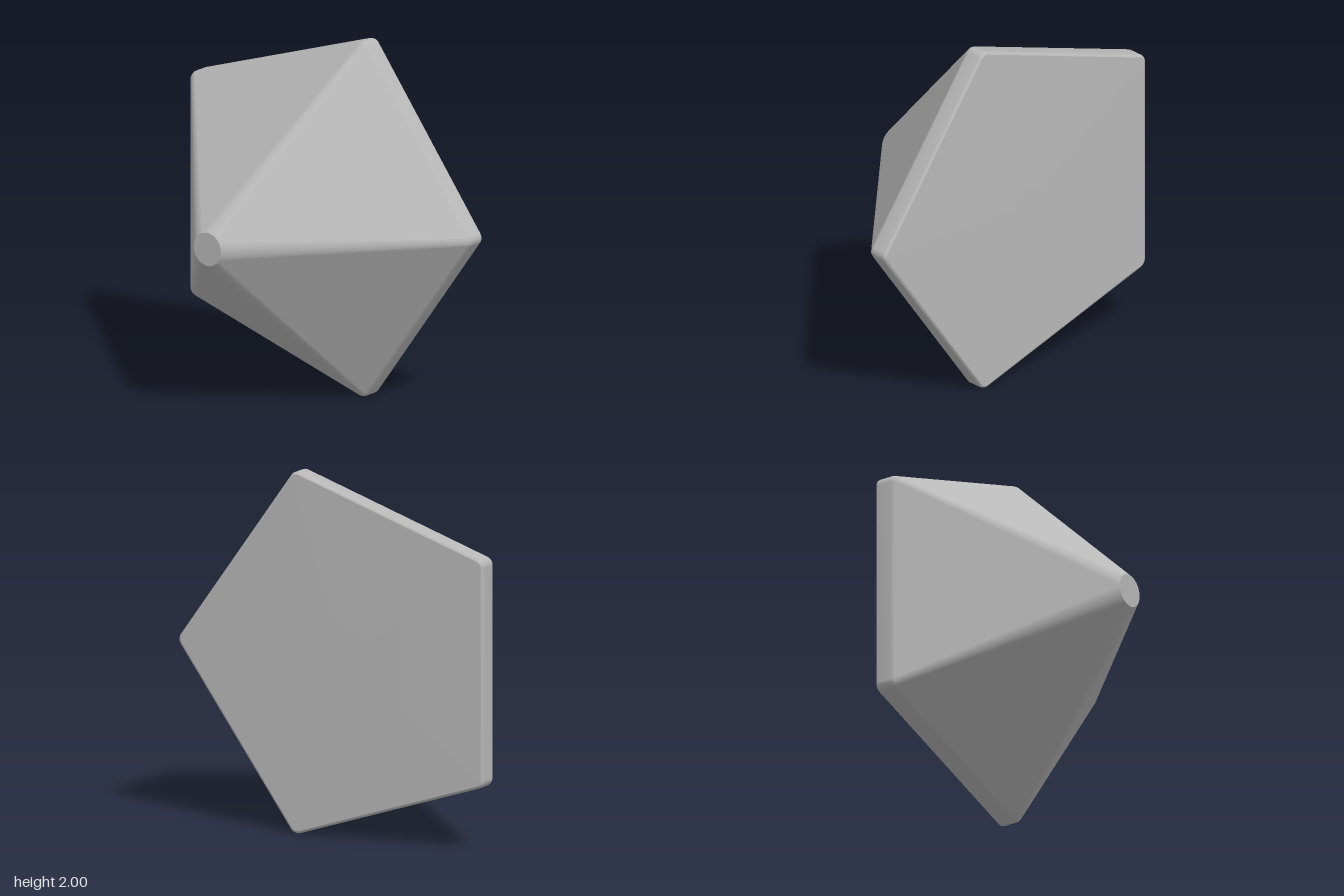
import * as THREE from 'three';
import { mergeVertices } from 'three/addons/utils/BufferGeometryUtils.js';

const SIDES = 5, ARC = 8;

// Rounded pentagon ring: corner circles of radius r at distance d from the axis
function ring(z, d, r) {
  const points = [];
  for (let k = 0; k < SIDES; k++) {
    const corner = (k * 2 * Math.PI) / SIDES;
    for (let i = 0; i <= ARC; i++) {
      const a = corner + (i / ARC - 0.5) * (2 * Math.PI / SIDES);
      points.push([
        d * Math.cos(corner) + r * Math.cos(a),
        d * Math.sin(corner) + r * Math.sin(a),
        z,
      ]);
    }
  }
  return points;
}

// Smooth skin over a list of rings, ordered front to back
function loft(rings) {
  const n = rings[0].length, index = [];
  for (let i = 0; i < rings.length - 1; i++) {
    for (let j = 0; j < n; j++) {
      const a = i * n + j, b = i * n + (j + 1) % n;
      index.push(a, a + n, b, b, a + n, b + n);
    }
  }
  return finish(rings.flat(), index);
}

// Fan closing a ring towards a centre point
function cap(points, centreZ, facesFront) {
  const n = points.length, index = [];
  for (let j = 0; j < n; j++) {
    const k = (j + 1) % n;
    index.push(n, ...(facesFront ? [j, k] : [k, j]));
  }
  return finish([...points, [0, 0, centreZ]], index);
}

function finish(points, index) {
  const geometry = new THREE.BufferGeometry();
  geometry.setAttribute('position', new THREE.Float32BufferAttribute(points.flat(), 3));
  geometry.setIndex(index);
  const merged = mergeVertices(geometry, 1e-5);
  merged.computeVertexNormals();
  return merged;
}

export function createModel() {
  const group = new THREE.Group();
  group.name = 'pentagonalStud';
  const grey = new THREE.MeshStandardMaterial({ color: 0xb8b8b8 });
  grey.name = 'grey';

  const tip = ring(0.545, 0, 0.093);
  const backEdge = ring(-0.536, 0.999, 0.036);
  const add = (name, geometry) => {
    const mesh = new THREE.Mesh(geometry, grey);
    mesh.name = name;
    group.add(mesh);
  };

  // Sloping faces, soft shoulder, rim wall and back bevel
  add('body', loft([
    tip,
    ring(-0.415, 0.999, 0.041),
    ring(-0.434, 0.999, 0.05),
    ring(-0.52, 0.999, 0.05),
    ring(-0.531, 0.999, 0.046),
    backEdge,
  ]));
  // Flat round tip and slightly domed back
  add('tipCap', cap(tip, 0.545, true));
  add('backPlate', cap(backEdge, -0.545, false));

  group.position.set(-0.095, 1, 0);
  const model = new THREE.Group();
  model.name = 'model';
  model.add(group);
  return model;
}
